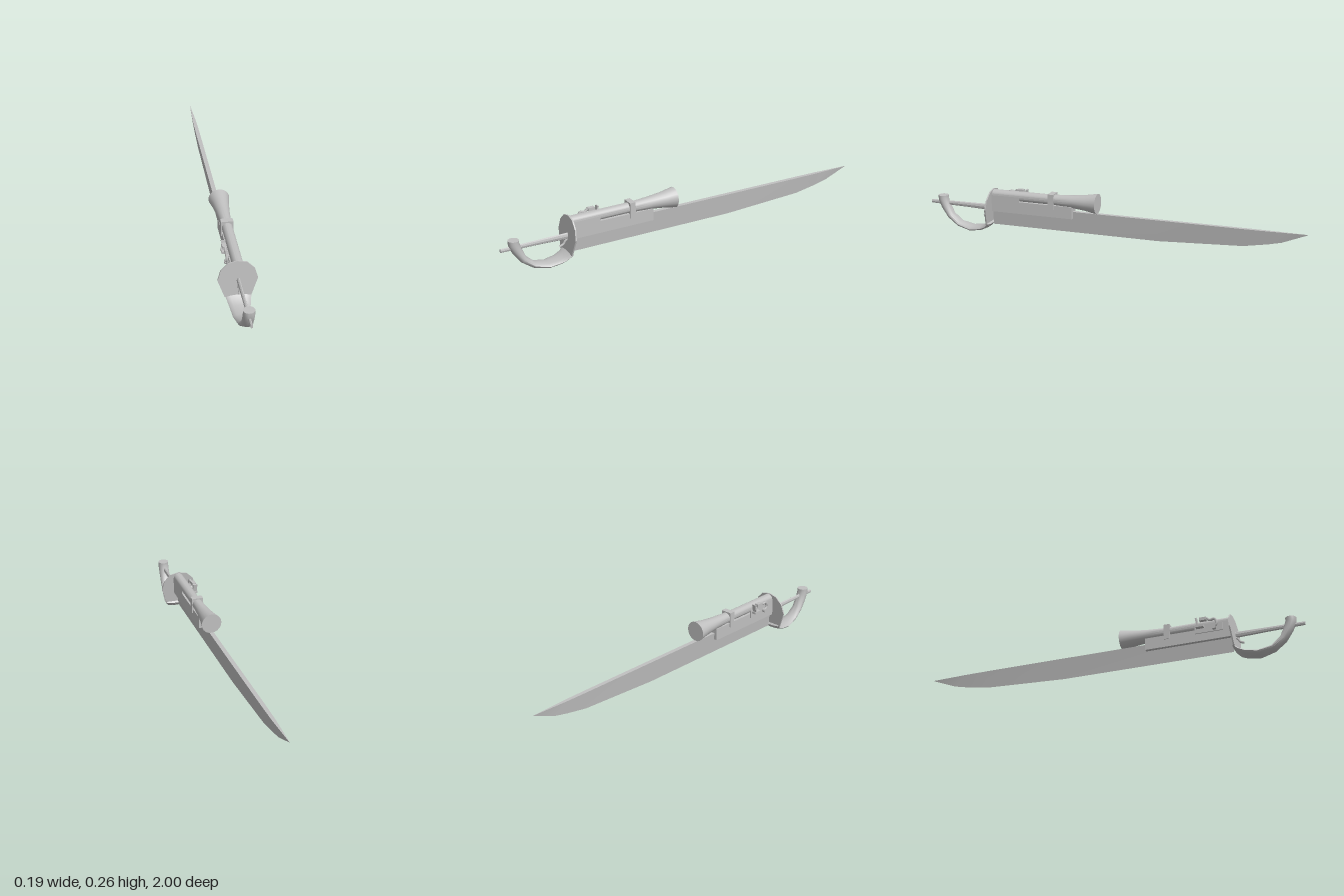
import * as THREE from 'three';
import { toCreasedNormals } from 'three/addons/utils/BufferGeometryUtils.js';

const steel = new THREE.MeshStandardMaterial({ color: 0xc0c0c0 });
steel.name = 'grey steel';
const CX = 0.003; // centre line of barrel, grip and blade

// Closed skin over equal-sized rings, each counter-clockwise seen from the far end
function skin(rings, crease) {
  const pos = [], n = rings[0].length;
  const tri = (a, b, c) => pos.push(...a, ...b, ...c);
  for (let i = 0; i < rings.length - 1; i++) {
    const p = rings[i], q = rings[i + 1];
    for (let j = 0; j < n; j++) {
      const k = (j + 1) % n;
      tri(p[j], p[k], q[j]);
      tri(p[k], q[k], q[j]);
    }
  }
  const last = rings[rings.length - 1];
  for (let j = 1; j < n - 1; j++) {
    tri(rings[0][0], rings[0][j + 1], rings[0][j]);
    tri(last[0], last[j], last[j + 1]);
  }
  const g = new THREE.BufferGeometry();
  g.setAttribute('position', new THREE.Float32BufferAttribute(pos, 3));
  return toCreasedNormals(g, crease);
}

// Elliptical loft along a path in the y-z plane; stations are [z, y, halfWidth, halfThickness]
function loft(stations, sides, crease) {
  const rings = stations.map(([z, y, w, t], i) => {
    const a = stations[Math.max(i - 1, 0)], b = stations[Math.min(i + 1, stations.length - 1)];
    const len = Math.hypot(b[0] - a[0], b[1] - a[1]);
    const ny = (b[0] - a[0]) / len, nz = -(b[1] - a[1]) / len;
    return Array.from({ length: sides }, (_, j) => {
      const u = (j / sides) * Math.PI * 2, s = Math.sin(u) * t;
      return [CX + Math.cos(u) * w, y + ny * s, z + nz * s];
    });
  });
  return skin(rings, crease);
}

export function createModel() {
  const model = new THREE.Group();
  const add = (name, geometry, x = 0, y = 0, z = 0) => {
    const m = new THREE.Mesh(geometry, steel);
    m.name = name;
    m.position.set(x, y, z);
    model.add(m);
    return m;
  };
  const box = (name, x0, x1, y0, y1, z0, z1) =>
    add(name, new THREE.BoxGeometry(x1 - x0, y1 - y0, z1 - z0), (x0 + x1) / 2, (y0 + y1) / 2, (z0 + z1) / 2);
  const tube = (name, pts, r) =>
    add(name, new THREE.TubeGeometry(new THREE.CatmullRomCurve3(pts.map((p) => new THREE.Vector3(...p))), 12, r, 6));

  // Wedge blade: [z, edge y, spine half width]
  const blade = [[0.645, 0.05, 0.011], [-0.25, 0.05, 0.011], [-0.68, 0.071, 0.0105],
    [-0.8, 0.092, 0.009], [-0.87, 0.108, 0.006], [-0.995, 0.158, 0.0005]];
  add('blade', skin(blade.map(([z, y, w]) => [[CX + w, 0.16, z], [CX, y, z], [CX - w, 0.16, z]]), 0.3));

  // Flared barrel
  const profile = [[0, 0.64], [0.026, 0.64], [0.026, 0.34], [0.028, 0.28], [0.033, 0.2],
    [0.041, 0.13], [0.052, 0.07], [0, 0.07]].map(([r, z]) => new THREE.Vector2(r, -z));
  const barrel = new THREE.LatheGeometry(profile, 20);
  barrel.rotateX(-Math.PI / 2);
  add('barrel', toCreasedNormals(barrel, 0.6), CX, 0.211, 0);

  // Stock behind and under the barrel, and the barrel band
  box('rearStock', CX - 0.026, CX + 0.026, 0.125, 0.211, 0.49, 0.643);
  box('foreStock', CX - 0.026, CX + 0.026, 0.125, 0.187, 0.2, 0.49);
  box('barrelBand', CX - 0.03, CX + 0.03, 0.165, 0.244, 0.3, 0.33);

  // Firing lock on the right side
  box('lockPlate', -0.029, -0.022, 0.165, 0.208, 0.46, 0.6);
  tube('cock', [[-0.038, 0.18, 0.56], [-0.038, 0.2, 0.575], [-0.038, 0.225, 0.565],
    [-0.038, 0.222, 0.54], [-0.038, 0.235, 0.525]], 0.007);
  const screw = add('cockScrew', new THREE.CylinderGeometry(0.011, 0.011, 0.02, 10), -0.037, 0.18, 0.56);
  screw.rotation.z = Math.PI / 2;
  box('flintJaw', -0.05, -0.03, 0.222, 0.238, 0.49, 0.525);
  box('pan', -0.052, -0.024, 0.188, 0.2, 0.47, 0.51);
  const frizzen = box('frizzen', -0.05, -0.028, 0.198, 0.24, 0.472, 0.48);
  frizzen.rotation.x = -0.15;

  // Egg-shaped hand guard, leaning back towards the bottom
  const half = [[0, 0.24], [0.045, 0.23], [0.08, 0.195], [0.094, 0.145], [0.063, 0.058], [0.035, 0.045]];
  const outline = [...half, ...half.slice(1).reverse().map(([x, y]) => [-x, y])];
  const guard = new THREE.ExtrudeGeometry(
    new THREE.Shape(outline.map(([x, y]) => new THREE.Vector2(x, y))), { depth: 0.007, bevelEnabled: false });
  const p = guard.attributes.position;
  for (let i = 0; i < p.count; i++) p.setZ(i, p.getZ(i) + 0.64 + 0.1 * (0.24 - p.getY(i)));
  guard.computeVertexNormals();
  add('handGuard', guard);

  // Knuckle bow curving up into the round pommel
  add('knuckleBow', loft([[0.655, 0.062, 0.064, 0.008], [0.675, 0.042, 0.056, 0.01], [0.71, 0.027, 0.049, 0.012],
    [0.77, 0.018, 0.043, 0.014], [0.84, 0.035, 0.033, 0.015], [0.89, 0.075, 0.028, 0.019],
    [0.918, 0.125, 0.028, 0.025], [0.932, 0.16, 0.028, 0.027], [0.932, 0.18, 0.028, 0.027]], 14, 0.7));

  // Thin tapering grip rod passing through the pommel
  add('gripRod', loft([[0.64, 0.138, 0.009, 0.017], [0.8, 0.14, 0.008, 0.013], [1, 0.141, 0.007, 0.01]], 8, 0.3));

  // Curved trigger
  tube('trigger', [[CX, 0.125, 0.65], [CX, 0.115, 0.668], [CX, 0.1, 0.678], [CX, 0.09, 0.7]], 0.006);

  return model;
}
